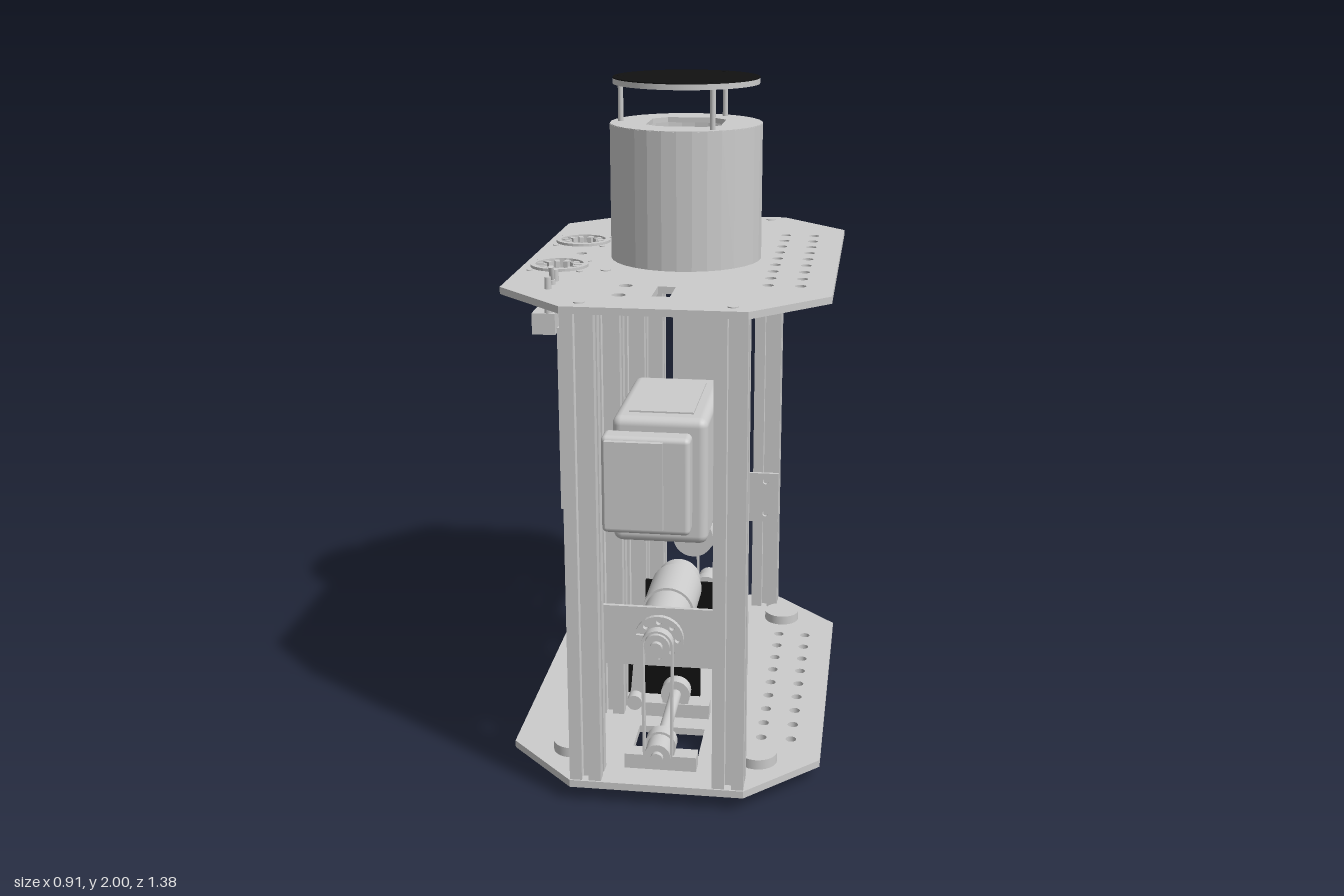
import * as THREE from 'three';
import { RoundedBoxGeometry } from 'three/addons/geometries/RoundedBoxGeometry.js';

const grey = new THREE.MeshStandardMaterial({ color: 0xcccccc });
const black = new THREE.MeshStandardMaterial({ color: 0x111111 });
const red = new THREE.MeshStandardMaterial({ color: 0xee1111 });

function add(parent, name, geo, mat = grey) {
  const m = new THREE.Mesh(geo, mat);
  m.name = name;
  parent.add(m);
  return m;
}
// Box given by its lower and upper corners
function box(parent, name, [x0, y0, z0], [x1, y1, z1], mat) {
  const m = add(parent, name, new THREE.BoxGeometry(x1 - x0, y1 - y0, z1 - z0), mat);
  m.position.set((x0 + x1) / 2, (y0 + y1) / 2, (z0 + z1) / 2);
  return m;
}
// Upright cylinder between two heights
function rod(parent, name, x, z, y0, y1, r, mat, rTop = r, seg = 32) {
  const m = add(parent, name, new THREE.CylinderGeometry(rTop, r, y1 - y0, seg), mat);
  m.position.set(x, (y0 + y1) / 2, z);
  return m;
}
// Cylinder along z
function axle(parent, name, x, y, z0, z1, r, seg = 32) {
  const m = add(parent, name, new THREE.CylinderGeometry(r, r, z1 - z0, seg));
  m.rotation.x = Math.PI / 2;
  m.position.set(x, y, (z0 + z1) / 2);
  return m;
}
const poly = pts => new THREE.Shape(pts.map(p => new THREE.Vector2(...p)));
const circle = (x, y, r) => new THREE.Path().absarc(x, y, r, 0, Math.PI * 2, true);
const rect = (x0, y0, x1, y1) => poly([[x0, y0], [x1, y0], [x1, y1], [x0, y1]]);
const extrude = (shape, depth) => new THREE.ExtrudeGeometry(shape, { depth, bevelEnabled: false, curveSegments: 16 });
// Horizontal plate from an x-z outline, hanging down from y
function flat(parent, name, shape, y, thick, mat) {
  const m = add(parent, name, extrude(shape, thick).rotateX(Math.PI / 2), mat);
  m.position.y = y;
  return m;
}

const posts = [[-0.205, 0.635], [0.205, 0.635], [-0.205, -0.635], [0.205, -0.635], [-0.205, 0.23], [-0.205, -0.23]];

function octagon() {
  const s = poly([[-0.25, -0.685], [0.25, -0.685], [0.457, -0.48], [0.457, 0.48],
    [0.25, 0.685], [-0.25, 0.685], [-0.457, 0.48], [-0.457, -0.48]]);
  for (const x of [0.275, 0.365])
    for (let i = -4; i <= 4; i++) s.holes.push(circle(x, i * 0.0915, 0.016));
  return s;
}

// Slotted square profile of the uprights
function postShape() {
  const pts = [];
  for (let k = 0; k < 4; k++) {
    const c = [1, 0, -1, 0][k], s = [0, 1, 0, -1][k];
    for (const [x, y] of [[0.045, -0.045], [0.045, -0.01], [0.036, -0.01], [0.036, -0.02], [0.02, -0.009],
      [0.02, 0.009], [0.036, 0.02], [0.036, 0.01], [0.045, 0.01]]) pts.push([x * c - y * s, x * s + y * c]);
  }
  return poly(pts);
}

// Motor, pulleys, belt and shaft of the front end; the rear one is turned round
function drive() {
  const g = new THREE.Group();
  g.name = 'driveUnit';
  const plate = rect(-0.25, 0.4, 0.25, 0.58);
  for (const x of [-0.205, 0.205]) for (const y of [0.43, 0.55]) plate.holes.push(circle(x, y, 0.01));
  add(g, 'motorPlate', extrude(plate, 0.012)).position.z = 0.578;
  axle(g, 'gearbox', 0, 0.49, 0.42, 0.578, 0.07);
  axle(g, 'motorCan', 0, 0.49, 0.235, 0.42, 0.077);
  axle(g, 'motorCap', 0, 0.49, 0.17, 0.235, 0.066);
  const wheel = new THREE.Shape().absarc(0, 0, 0.07, 0, Math.PI * 2);
  wheel.holes.push(circle(0, 0, 0.034));
  for (let i = 0; i < 8; i++) wheel.holes.push(circle(0.053 * Math.cos(i * Math.PI / 4), 0.053 * Math.sin(i * Math.PI / 4), 0.008));
  add(g, 'upperFlange', extrude(wheel, 0.015)).position.set(0, 0.49, 0.592);
  axle(g, 'upperPulley', 0, 0.49, 0.59, 0.655, 0.036);
  axle(g, 'upperHub', 0, 0.49, 0.65, 0.67, 0.018);
  axle(g, 'lowerPulley', 0, 0.145, 0.59, 0.655, 0.038);
  axle(g, 'lowerHub', 0, 0.145, 0.65, 0.67, 0.018);
  // Belt loop
  const loop = (r, x) => x
    .absarc(0, 0.49, r + 0.003, 0, Math.PI).absarc(0, 0.145, r, Math.PI, Math.PI * 2);
  const belt = loop(0.042, new THREE.Shape());
  belt.closePath();
  belt.holes.push(loop(0.036, new THREE.Path()));
  add(g, 'belt', extrude(belt, 0.03)).position.z = 0.62;
  // Tensioner arm
  const arm = box(g, 'tensionArm', [-0.016, -0.1, 0.605], [0.016, 0.1, 0.617]);
  arm.position.set(-0.057, 0.405, 0.611);
  arm.rotation.z = -0.09;
  axle(g, 'tensionRoller', -0.065, 0.31, 0.6, 0.65, 0.022);
  axle(g, 'shaft', 0, 0.145, 0.23, 0.6, 0.018);
  for (const z of [0.25, 0.57]) {
    axle(g, 'bearing', 0, 0.145, z - 0.02, z + 0.02, 0.045);
    box(g, 'bearingBlock', [-0.04, 0.07, z - 0.018], [0.04, 0.14, z + 0.018]);
    box(g, 'bearingFoot', [-0.105, 0.07, z - 0.025], [0.105, 0.115, z + 0.025]);
  }
  box(g, 'boardPost', [-0.16, 0.07, 0.18], [-0.13, 0.1, 0.21]);
  return g;
}

export function createModel() {
  const model = new THREE.Group();

  // Base plate with two drive openings
  const base = octagon();
  for (const s of [-1, 1]) base.holes.push(rect(-0.1, s * 0.44 - 0.1, 0.1, s * 0.44 + 0.1));
  flat(model, 'basePlate', base, 0.07, 0.022);
  for (const x of [-0.275, 0.275]) for (const z of [-0.5, 0.5]) {
    const foot = add(model, 'foot', new THREE.LatheGeometry([[0, 0.002], [0.025, 0.004], [0.03, 0.015], [0.07, 0.03], [0.07, 0.05]]
      .map(p => new THREE.Vector2(...p)), 32));
    foot.position.set(x, 0, z);
    rod(model, 'footNut', x, z, 0.07, 0.1, 0.058);
  }

  // Top plate with its openings
  const top = octagon();
  const fans = [[-0.35, -0.185], [-0.35, 0.185]];
  top.holes.push(circle(0, 0, 0.08), rect(-0.025, 0.42, 0.025, 0.54), circle(-0.115, 0.42, 0.019),
    circle(-0.115, 0.535, 0.019), circle(-0.32, 0, 0.016), circle(0, -0.37, 0.052));
  for (const [x, z] of fans) top.holes.push(circle(x, z, 0.075));
  flat(model, 'topPlate', top, 1.467, 0.02);
  for (const [x, z] of posts) {
    const post = flat(model, 'post', postShape(), 1.449, 1.379);
    post.position.x = x;
    post.position.z = z;
    rod(model, 'postScrew', x, z, 1.46, 1.47, 0.015);
  }

  // Round slotted outlets
  for (const [x, z] of fans) {
    const ring = new THREE.Shape().absarc(x, z, 0.085, 0, Math.PI * 2);
    ring.holes.push(circle(x, z, 0.07));
    flat(model, 'outletRim', ring, 1.475, 0.09);
    rod(model, 'outletFloor', x, z, 1.39, 1.41, 0.085);
    rod(model, 'outletHub', x, z, 1.41, 1.45, 0.045);
    for (let i = 0; i < 12; i++) {
      const a = i * Math.PI / 6 + 0.2;
      const fin = add(model, 'outletFin', new THREE.BoxGeometry(0.034, 0.05, 0.014));
      fin.position.set(x + 0.06 * Math.cos(a), 1.446, z + 0.06 * Math.sin(a));
      fin.rotation.y = -a;
    }
    for (const dx of [-0.073, 0.073]) for (const dz of [-0.073, 0.073])
      rod(model, 'outletScrew', x + dx, z + dz, 1.4, 1.47, 0.009, grey, 0.009, 12);
  }

  // Tower tube, its cap and the raised disc
  const wall = new THREE.Shape().absarc(0, 0, 0.225, 0, Math.PI * 2);
  wall.holes.push(circle(0, 0, 0.21));
  const tube = extrude(wall, 0.4);
  tube.deleteAttribute('normal');
  tube.computeVertexNormals();
  const tower = add(model, 'towerTube', tube.rotateX(Math.PI / 2));
  tower.position.y = 1.865;
  const cap = new THREE.Shape().absarc(0, 0, 0.224, 0, Math.PI * 2);
  cap.holes.push(poly([[-0.11, -0.07], [-0.07, -0.11], [0.07, -0.11], [0.11, -0.07], [0.11, 0.07], [0.07, 0.11], [-0.07, 0.11], [-0.11, 0.07]]));
  flat(model, 'towerCap', cap, 1.867, 0.015);
  for (const [x, z] of [[-0.195, 0], [0.097, 0.168], [0.097, -0.168]]) {
    rod(model, 'standoff', x, z, 1.86, 1.982, 0.008, grey, 0.008, 12);
    rod(model, 'discScrew', x, z, 1.99, 2, 0.01, black, 0.01, 12);
  }
  rod(model, 'disc', 0, 0, 1.98, 1.996, 0.215, grey, 0.215, 64);
  rod(model, 'discTop', 0, 0, 1.996, 1.999, 0.215, black, 0.215, 64);

  // Stop button with its contact block
  rod(model, 'buttonCollar', 0, -0.55, 1.467, 1.54, 0.06);
  const button = add(model, 'stopButton', new THREE.LatheGeometry([[0, 1.53], [0.055, 1.535], [0.065, 1.55], [0.09, 1.56], [0.09, 1.575], [0.06, 1.583], [0, 1.587]]
    .map(p => new THREE.Vector2(...p)), 40), red);
  button.position.z = -0.55;
  box(model, 'contactBlock', [-0.075, 1.28, -0.61], [0.075, 1.4, -0.48]);
  rod(model, 'contactNeck', 0, -0.55, 1.39, 1.45, 0.06);

  // Round socket below the top plate
  const lip = new THREE.Shape().absarc(0, -0.37, 0.058, 0, Math.PI * 2);
  lip.holes.push(circle(0, -0.37, 0.05));
  flat(model, 'socketLip', lip, 1.473, 0.04);
  box(model, 'socketFlange', [-0.08, 1.38, -0.45], [0.08, 1.445, -0.29]);
  rod(model, 'socketBody', 0, -0.37, 1.25, 1.38, 0.045);

  // Switch and indicators
  box(model, 'switchBody', [-0.365, 1.34, 0.37], [-0.3, 1.4, 0.5]);
  for (const z of [0.385, 0.43, 0.485]) rod(model, 'indicator', -0.32, z, 1.39, z === 0.43 ? 1.48 : 1.5, 0.012, grey, 0.009, 16);
  const lever = rod(model, 'switchLever', -0.32, 0.435, 1.475, 1.52, 0.006, grey, 0.008, 12);
  lever.rotation.x = 0.3;
  box(model, 'cableGland', [-0.35, 1.385, -0.06], [-0.29, 1.44, 0.06]);

  // Side panel with electronics mounted outside
  const side = poly([[0.5, 0.15], [0.5, 1.38], [-0.39, 1.38], [-0.39, 0.15], [-0.18, 0.15], [-0.18, 0.36], [-0.14, 0.4],
    [0.14, 0.4], [0.18, 0.36], [0.18, 0.15]]);
  for (const [z, y] of [[0.48, 1.3], [0.05, 1.3], [-0.085, 1.29], [-0.085, 1.07], [-0.35, 1.07], [-0.16, 0.91], [0.05, 0.86], [-0.16, 0.61], [0.41, 0.25]])
    side.holes.push(circle(z, y, 0.009));
  add(model, 'sidePanel', extrude(side, 0.015).rotateY(-Math.PI / 2)).position.x = -0.25;
  box(model, 'upperUnit', [-0.36, 1.05, -0.5], [-0.265, 1.3, -0.08]);
  box(model, 'upperUnitPlate', [-0.268, 1.05, -0.5], [-0.255, 1.38, -0.3]);
  box(model, 'frontUnit', [-0.295, 0.83, 0.05], [-0.265, 1.36, 0.5]);
  box(model, 'middleUnit', [-0.32, 0.58, -0.37], [-0.265, 0.94, -0.05]);
  box(model, 'smallUnit', [-0.29, 0.2, 0.32], [-0.265, 0.52, 0.47]);
  box(model, 'innerStrap', [-0.25, 0.4, -0.15], [-0.24, 0.52, 0.15]);

  // Power box with connector, and rear cover
  const power = add(model, 'powerBox', new RoundedBoxGeometry(0.265, 0.365, 0.415, 3, 0.025));
  power.position.set(0.002, 0.957, 0.383);
  box(model, 'powerFlange', [-0.11, 0.82, 0.15], [0.11, 1.09, 0.18]);
  const con = add(model, 'powerConnector', new RoundedBoxGeometry(0.245, 0.28, 0.07, 3, 0.015));
  con.position.set(-0.03, 0.96, 0.61);
  box(model, 'connectorLatch', [-0.14, 0.84, 0.6], [0.02, 1.09, 0.66]);
  box(model, 'powerLid', [-0.09, 1.13, 0.24], [0.09, 1.144, 0.54]);
  const cover = rect(-0.135, 0.77, 0.135, 1.22);
  for (const x of [-0.12, 0.12]) for (const y of [0.785, 1.205]) cover.holes.push(circle(x, y, 0.007));
  add(model, 'rearCover', extrude(cover, 0.012)).position.z = -0.69;

  // Drives and upright boards
  const rear = drive();
  rear.rotation.y = Math.PI;
  model.add(drive(), rear);
  for (const z of [-0.18, 0.18]) box(model, 'uprightBoard', [-0.16, 0.1, z - 0.005], [0.067, 0.33, z + 0.005], black);

  return model;
}
